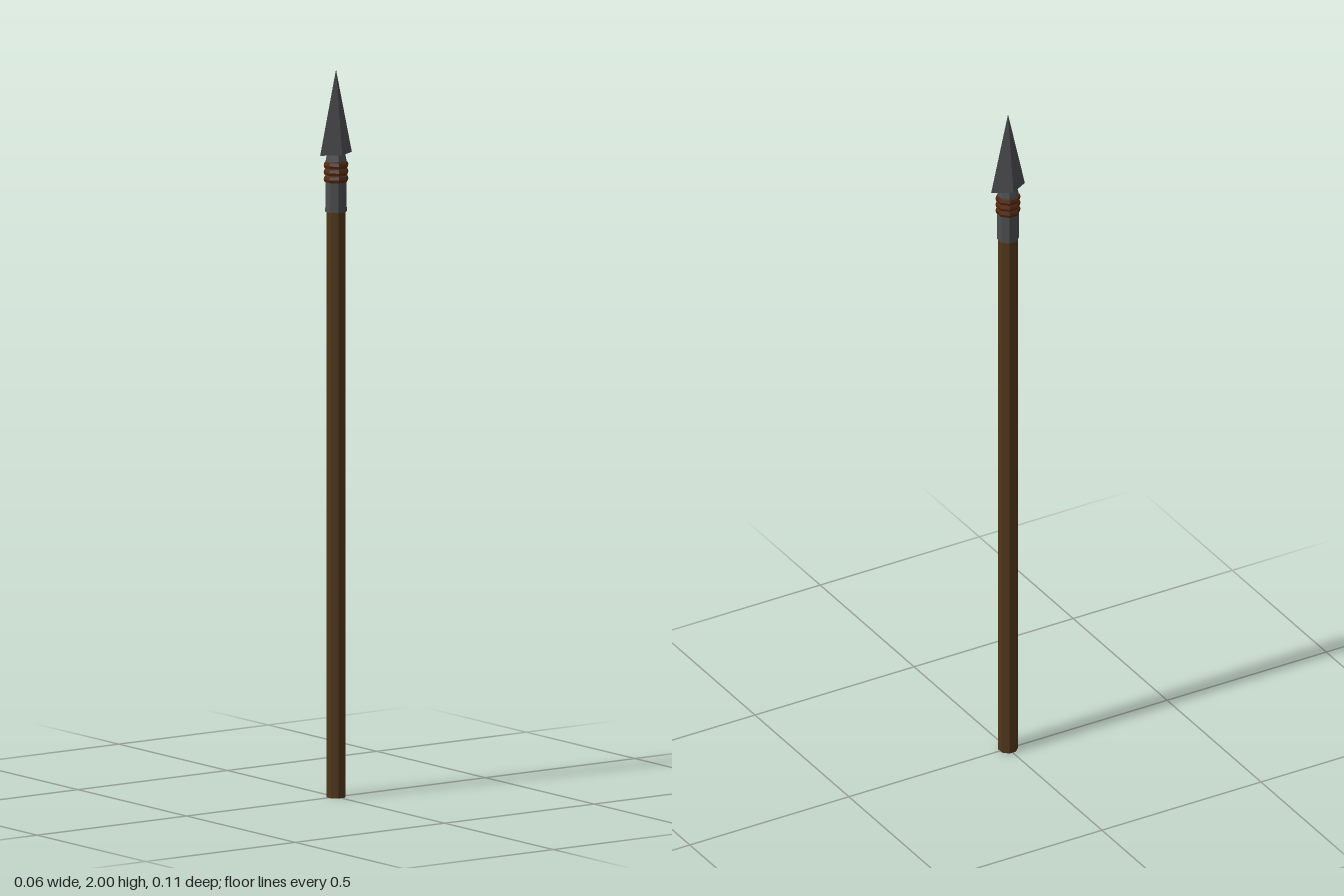
import * as THREE from 'three';

const metal = new THREE.MeshStandardMaterial({ color: 0x4c4d50, flatShading: true });
const wood = new THREE.MeshStandardMaterial({ color: 0x50361a, flatShading: true });
const cord = new THREE.MeshStandardMaterial({ color: 0x54280f, flatShading: true });

// Turns a profile of [radius, height] points around the y axis
function turned(name, points, sides, material) {
  const profile = points.map(([r, y]) => new THREE.Vector2(r, y));
  const mesh = new THREE.Mesh(new THREE.LatheGeometry(profile, sides), material);
  mesh.name = name;
  return mesh;
}

export function createModel() {
  const group = new THREE.Group();
  group.name = 'spear';

  // Eight-sided parts, turned so that a flat faces the front
  const octagonal = [
    turned('shaft', [[0, 0], [0.027, 0], [0.027, 1.62], [0, 1.62]], 8, wood),
    turned('socket', [[0, 1.61], [0.03, 1.61], [0.029, 1.75], [0.022, 1.785], [0, 1.785]], 8, metal),
  ];

  // Three cord wraps around the socket
  for (const y of [1.7, 1.719, 1.738]) {
    octagonal.push(turned('binding',
      [[0.027, y - 0.009], [0.032, y - 0.008], [0.0345, y], [0.032, y + 0.008], [0.027, y + 0.009]], 8, cord));
  }
  for (const part of octagonal) {
    part.rotation.y = Math.PI / 8;
    group.add(part);
  }

  // Diamond-section blade, wide along z, with a hollow underside
  const blade = turned('blade', [[0, 1.785], [1, 1.768], [0, 2]], 4, metal);
  blade.scale.set(0.029, 1, 0.053);
  group.add(blade);

  return group;
}
